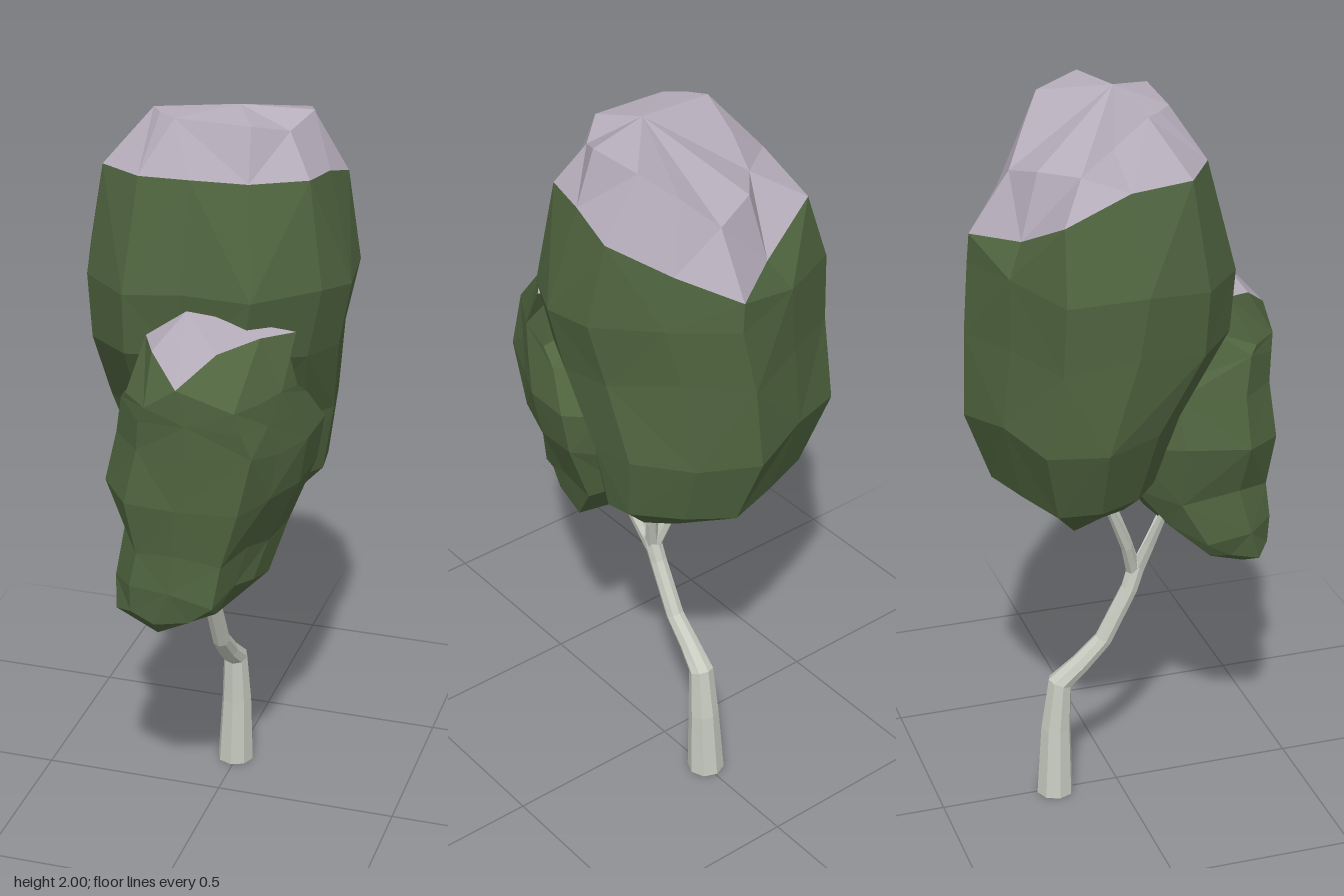
import * as THREE from 'three';

const flat = (name, color) => {
  const m = new THREE.MeshStandardMaterial({ color });
  m.name = name;
  m.flatShading = true;
  return m;
};

const V = (x, y, z) => new THREE.Vector3(x, y, z);
const ring = points => points.map(p => V(...p));

// Small seeded generator for the irregular facets
function seeded(seed) {
  let s = seed;
  return () => ((s = (s * 16807) % 2147483647) / 2147483647);
}

// Skin a stack of rings (bottom to top), closing ends that are given a point
function skin(rings, bottom, top) {
  const pos = [];
  const tri = (...pts) => pts.forEach(p => pos.push(p.x, p.y, p.z));
  const n = rings[0].length;
  for (let i = 0; i < n; i++) {
    const j = (i + 1) % n;
    for (let k = 0; k < rings.length - 1; k++) {
      const a = rings[k], b = rings[k + 1];
      if ((i + k) % 2) { tri(a[i], a[j], b[j]); tri(a[i], b[j], b[i]); }
      else { tri(a[i], a[j], b[i]); tri(a[j], b[j], b[i]); }
    }
    const last = rings[rings.length - 1];
    if (bottom) tri(rings[0][j], rings[0][i], bottom);
    if (top) tri(last[i], last[j], top);
  }
  const g = new THREE.BufferGeometry();
  g.setAttribute('position', new THREE.Float32BufferAttribute(pos, 3));
  g.computeVertexNormals();
  return g;
}

// Foliage ring: an x, z outline fitted to y, x0, x1, z0, z1, with small irregularities
function leafRing(outline, [y, x0, x1, z0, z1], rand) {
  const pts = outline.map(([x, z]) =>
    V(x + (rand() - 0.5) * 0.016, 0, z + (rand() - 0.5) * 0.016));
  const box = new THREE.Box3().setFromPoints(pts);
  for (const p of pts) {
    const u = (p.x - box.min.x) / (box.max.x - box.min.x);
    const v = (p.z - box.min.z) / (box.max.z - box.min.z);
    p.set(x0 + (x1 - x0) * u, y + (rand() - 0.5) * 0.045, z0 + (z1 - z0) * v);
  }
  return pts;
}

// Crown of leaves topped by a snow cap that starts at the last leaf ring
function crown(name, leafRings, snowRings, bottom, top, leaf, snow) {
  const group = new THREE.Group();
  group.name = name;
  const leaves = new THREE.Mesh(skin([...leafRings, snowRings[0]], bottom, null), leaf);
  leaves.name = name + 'Leaves';
  const cap = new THREE.Mesh(skin(snowRings, null, top), snow);
  cap.name = name + 'SnowCap';
  group.add(leaves, cap);
  return group;
}

// Tapering limb along points of x, y, z, radius
function limb(name, path, sides, material) {
  const pts = path.map(p => V(p[0], p[1], p[2]));
  const up = V(0, 1, 0);
  const rings = pts.map((c, k) => {
    const dir = pts[Math.min(k + 1, pts.length - 1)].clone().sub(pts[Math.max(k - 1, 0)]).normalize();
    if (c.y === 0) dir.copy(up);
    const q = new THREE.Quaternion().setFromUnitVectors(up, dir);
    return Array.from({ length: sides }, (_, i) => {
      const a = (i / sides) * Math.PI * 2;
      return V(Math.sin(a), 0, Math.cos(a)).multiplyScalar(path[k][3]).applyQuaternion(q).add(c);
    });
  });
  const mesh = new THREE.Mesh(skin(rings, pts[0], pts[pts.length - 1]), material);
  mesh.name = name;
  return mesh;
}

export function createModel() {
  const leaf = flat('leafGreen', 0x4f643f);
  const snow = flat('snowLilac', 0xb5acba);
  const bark = flat('paleBark', 0xc6cabf);
  const tree = new THREE.Group();
  tree.name = 'tree';

  // Crooked trunk
  tree.add(limb('trunk', [
    [-0.005, 0, -0.181, 0.051],
    [0, 0.2, -0.175, 0.042],
    [0, 0.34, -0.162, 0.034],
    [-0.005, 0.39, -0.105, 0.028],
    [-0.005, 0.455, -0.04, 0.025],
    [-0.005, 0.6, 0.035, 0.024],
    [0, 0.68, 0.062, 0.025],
  ], 8, bark));

  // Branches fanning out below the crowns
  const branches = new THREE.Group();
  branches.name = 'branches';
  [
    [[0, 0.63, 0.045, 0.02], [0.02, 0.72, 0.1, 0.016], [0.05, 0.84, 0.17, 0.01]],
    [[0, 0.64, 0.05, 0.02], [-0.03, 0.74, 0.02, 0.016], [-0.07, 0.93, -0.06, 0.01]],
    [[0, 0.64, 0.055, 0.02], [0.02, 0.74, 0.03, 0.016], [0.03, 0.94, -0.04, 0.01]],
    [[0, 0.64, 0.055, 0.02], [-0.03, 0.74, 0.085, 0.016], [-0.08, 0.88, 0.12, 0.01]],
  ].forEach((path, i) => branches.add(limb('branch' + (i + 1), path, 6, bark)));
  tree.add(branches);

  // Tall main crown, tucked in behind the lower one
  const mainOutline = [
    [-0.02, 0.23], [0.16, 0.26], [0.3, 0.12], [0.355, 0], [0.34, -0.15], [0.2, -0.3],
    [0.045, -0.415], [-0.15, -0.35], [-0.345, -0.255], [-0.36, -0.05], [-0.3, 0.14], [-0.17, 0.26],
  ];
  const mainRand = seeded(4127);
  const mainLeaves = [
    [0.885, -0.15, 0.17, -0.22, 0.03],
    [0.98, -0.27, 0.26, -0.335, 0.06],
    [1.18, -0.345, 0.29, -0.41, 0.12],
    [1.4, -0.35, 0.32, -0.4, 0.25],
    [1.58, -0.355, 0.355, -0.38, 0.265],
  ].map(row => leafRing(mainOutline, row, mainRand));
  const mainSnow = [
    ring([
      [-0.02, 1.85, 0.185], [0.13, 1.85, 0.175], [0.265, 1.85, 0.1], [0.285, 1.84, -0.02],
      [0.3, 1.8, -0.15], [0.18, 1.72, -0.265], [0.05, 1.65, -0.375], [-0.1, 1.67, -0.28],
      [-0.28, 1.76, -0.22], [-0.275, 1.83, -0.05], [-0.27, 1.845, 0.11], [-0.15, 1.85, 0.19],
    ]),
    ring([
      [-0.08, 1.98, 0.11], [0.12, 1.98, 0.12], [0.2, 1.955, 0.05], [0.24, 1.99, -0.03],
      [0.2, 1.96, -0.15], [0.12, 1.89, -0.21], [0.04, 1.81, -0.27], [-0.08, 1.84, -0.23],
      [-0.155, 1.84, -0.14], [-0.165, 1.91, -0.06], [-0.16, 1.98, 0.03], [-0.13, 1.98, 0.07],
    ]),
  ];
  tree.add(crown('mainCrown', mainLeaves, mainSnow, V(0, 0.865, -0.1), V(0.06, 2, 0.01), leaf, snow));

  // Smaller lower crown in front, with a lobe reaching back on its left
  const lowOutline = [
    [0.015, 0.41], [0.18, 0.395], [0.23, 0.3], [0.275, 0.19], [0.29, 0.06],
    [0.18, 0.02], [-0.1, 0.03], [-0.19, 0.14], [-0.21, 0.3], [-0.125, 0.4],
  ];
  const lowRand = seeded(9311);
  const lowLeaves = [
    [0.73, -0.17, 0.1, 0.22, 0.395],
    [0.8, -0.18, 0.18, 0.11, 0.405],
    [0.91, -0.165, 0.21, 0.02, 0.4],
    [1.06, -0.21, 0.28, 0, 0.41],
    [1.2, -0.18, 0.3, 0, 0.41],
    [1.29, -0.16, 0.27, 0.08, 0.41],
    [1.35, -0.14, 0.26, 0.15, 0.41],
  ].map(row => leafRing(lowOutline, row, lowRand));
  const lowSnow = [ring([
    [0.015, 1.385, 0.41], [0.09, 1.45, 0.31], [0.19, 1.49, 0.27], [0.26, 1.485, 0.19], [0.22, 1.48, 0.17],
    [0.1, 1.48, 0.16], [-0.03, 1.47, 0.17], [-0.1, 1.46, 0.22], [-0.11, 1.46, 0.26], [-0.07, 1.45, 0.335],
  ])];
  tree.add(crown('lowerCrown', lowLeaves, lowSnow, V(-0.06, 0.665, 0.34), V(0, 1.54, 0.27), leaf, snow));

  return tree;
}
